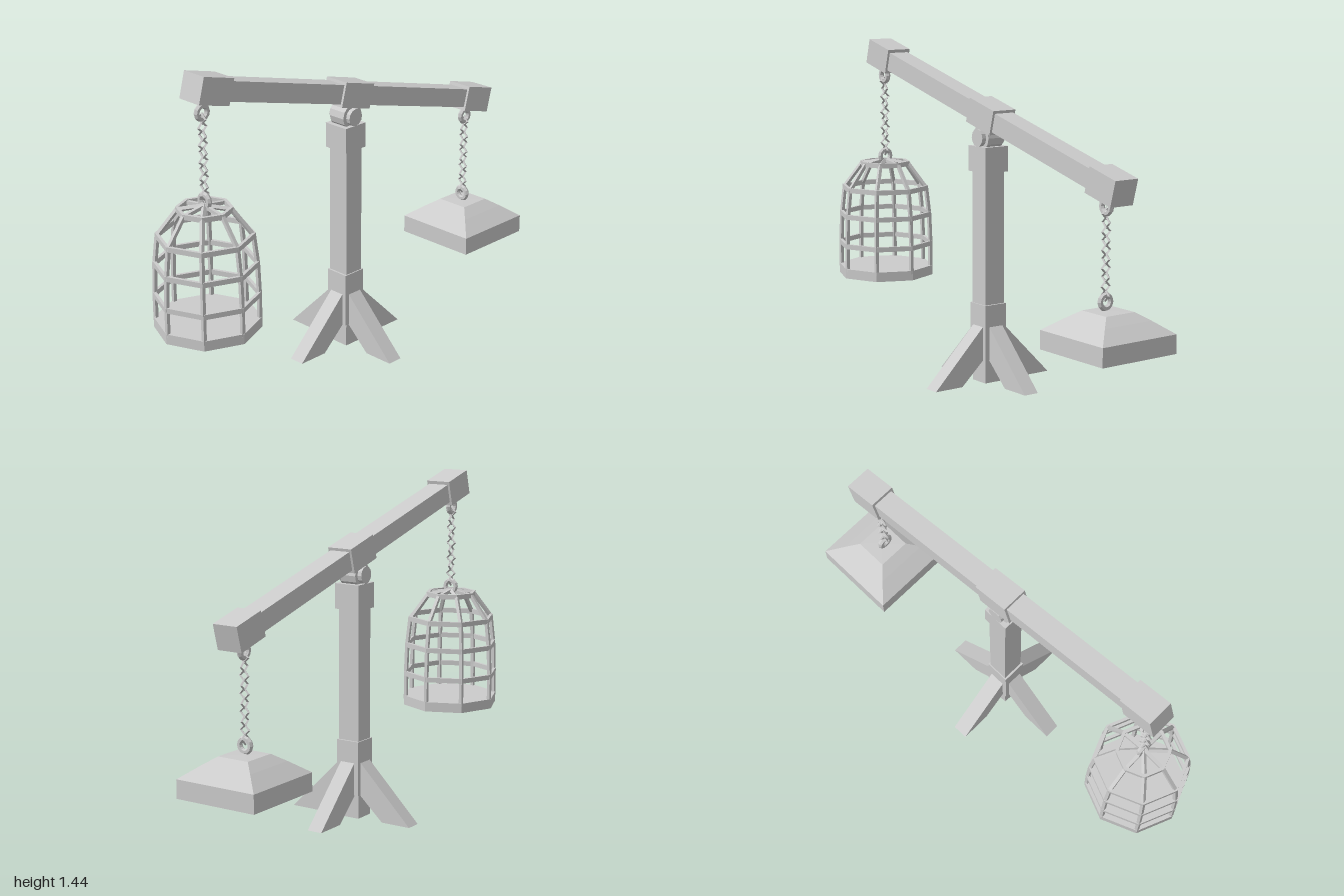
import * as THREE from 'three';

const mat = new THREE.MeshStandardMaterial({ color: 0xcccccc, flatShading: true });

function add(parent, name, geo, x = 0, y = 0, z = 0) {
  const m = new THREE.Mesh(geo, mat);
  m.name = name;
  m.position.set(x, y, z);
  parent.add(m);
  return m;
}

function group(parent, name, x = 0, y = 0, z = 0) {
  const g = new THREE.Group();
  g.name = name;
  g.position.set(x, y, z);
  parent.add(g);
  return g;
}

const box = (w, h, d) => new THREE.BoxGeometry(w, h, d);

// Square bar running between two points
function bar(parent, name, a, b, t) {
  const dir = b.clone().sub(a);
  const m = add(parent, name, box(t, dir.length() + t * 0.4, t));
  m.position.copy(a).add(b).multiplyScalar(0.5);
  m.quaternion.setFromUnitVectors(new THREE.Vector3(0, 1, 0), dir.normalize());
}

// Eyelet, chain of alternating square links, and lower eyelet turned sideways
function buildChain(parent, name, x, topY, bottomY) {
  const g = group(parent, name, x);
  const eye = new THREE.TorusGeometry(0.027, 0.012, 6, 12);
  add(g, 'upperEyelet', eye, 0, topY);
  add(g, 'lowerEyelet', eye, 0, bottomY).rotation.y = Math.PI / 2;
  const link = new THREE.TorusGeometry(0.021, 0.006, 4, 4);
  const n = 10, first = topY - 0.026, last = bottomY + 0.026;
  for (let i = 0; i < n; i++) {
    const m = add(g, 'chainLink', link, 0, first + (last - first) * i / (n - 1));
    if (i % 2 === 0) m.rotation.y = Math.PI / 2;
  }
}

function buildStand(parent) {
  const g = group(parent, 'stand', 0.02);
  add(g, 'post', box(0.092, 1.0, 0.1), 0, 0.5);
  add(g, 'postCap', box(0.12, 0.11, 0.12), 0, 0.975);
  add(g, 'postCollar', box(0.11, 0.24, 0.11), 0, 0.225);
  add(g, 'pivotDrum', new THREE.CylinderGeometry(0.055, 0.055, 0.08, 12), 0, 1.067).rotation.x = Math.PI / 2;
  add(g, 'pivotPin', new THREE.CylinderGeometry(0.038, 0.038, 0.12, 12), 0, 1.067).rotation.x = Math.PI / 2;
  // Slanted braces, cut flat at the ground
  const s = new THREE.Shape([
    [0.045, 0.11], [0.165, 0], [0.304, 0], [0.054, 0.25], [0.045, 0.25],
  ].map(([x, y]) => new THREE.Vector2(x, y)));
  const legGeo = new THREE.ExtrudeGeometry(s, { depth: 0.07, bevelEnabled: false });
  legGeo.translate(0, 0, -0.035);
  for (let i = 0; i < 4; i++) add(g, 'leg', legGeo).rotation.y = i * Math.PI / 2;
}

function buildBeam(parent) {
  const g = group(parent, 'beam', 0.036, 1.16);
  g.rotation.z = -0.2615;
  add(g, 'beamBar', box(1.7, 0.083, 0.096));
  add(g, 'middleCollar', box(0.172, 0.108, 0.117));
  for (const s of [-1, 1]) add(g, 'endCap', box(0.16, 0.112, 0.117), s * 0.811);
}

// Octagonal cage with corners on the x and z axes
function buildCage(parent) {
  const g = group(parent, 'cage', -0.78);
  add(g, 'cageFloor', new THREE.CylinderGeometry(0.222, 0.222, 0.044, 8), 0, 0.37);
  const profile = [[0.212, 0.38], [0.212, 0.497], [0.207, 0.634], [0.193, 0.757], [0.11, 0.868], [0.0, 0.885]];
  const corner = ([r, y], i) => {
    const a = i * Math.PI / 4;
    return new THREE.Vector3(r * Math.cos(a), y, r * Math.sin(a));
  };
  for (let i = 0; i < 8; i++) {
    for (let j = 0; j < profile.length - 1; j++) {
      bar(g, 'cageBar', corner(profile[j], i), corner(profile[j + 1], i), 0.015);
    }
  }
  // Flat hoops with a rectangular section
  const hoop = (r, y, h) => {
    const p = [[r - 0.014, -h], [r, -h], [r, h], [r - 0.014, h], [r - 0.014, -h]]
      .map(([a, b]) => new THREE.Vector2(a, b));
    add(g, 'cageHoop', new THREE.LatheGeometry(p, 8), 0, y);
  };
  hoop(0.222, 0.497, 0.011);
  hoop(0.217, 0.634, 0.011);
  hoop(0.203, 0.757, 0.011);
  hoop(0.117, 0.87, 0.011);
}

// Square counterweight with a stepped sloping top
function buildWeight(parent) {
  const p = [[0, 0.28], [0.192, 0.28], [0.192, 0.36], [0.122, 0.412], [0.074, 0.445], [0, 0.447]]
    .map(([r, y]) => new THREE.Vector2(r * Math.SQRT2, y));
  const geo = new THREE.LatheGeometry(p, 4);
  geo.rotateY(Math.PI / 4);
  add(parent, 'counterweight', geo, 0.805, 0, -0.005);
}

export function createModel() {
  const model = new THREE.Group();
  model.name = 'balanceScale';
  buildStand(model);
  buildBeam(model);
  buildChain(model, 'cageChain', -0.777, 1.278, 0.905);
  buildChain(model, 'weightChain', 0.793, 0.864, 0.482);
  buildCage(model);
  buildWeight(model);
  return model;
}
